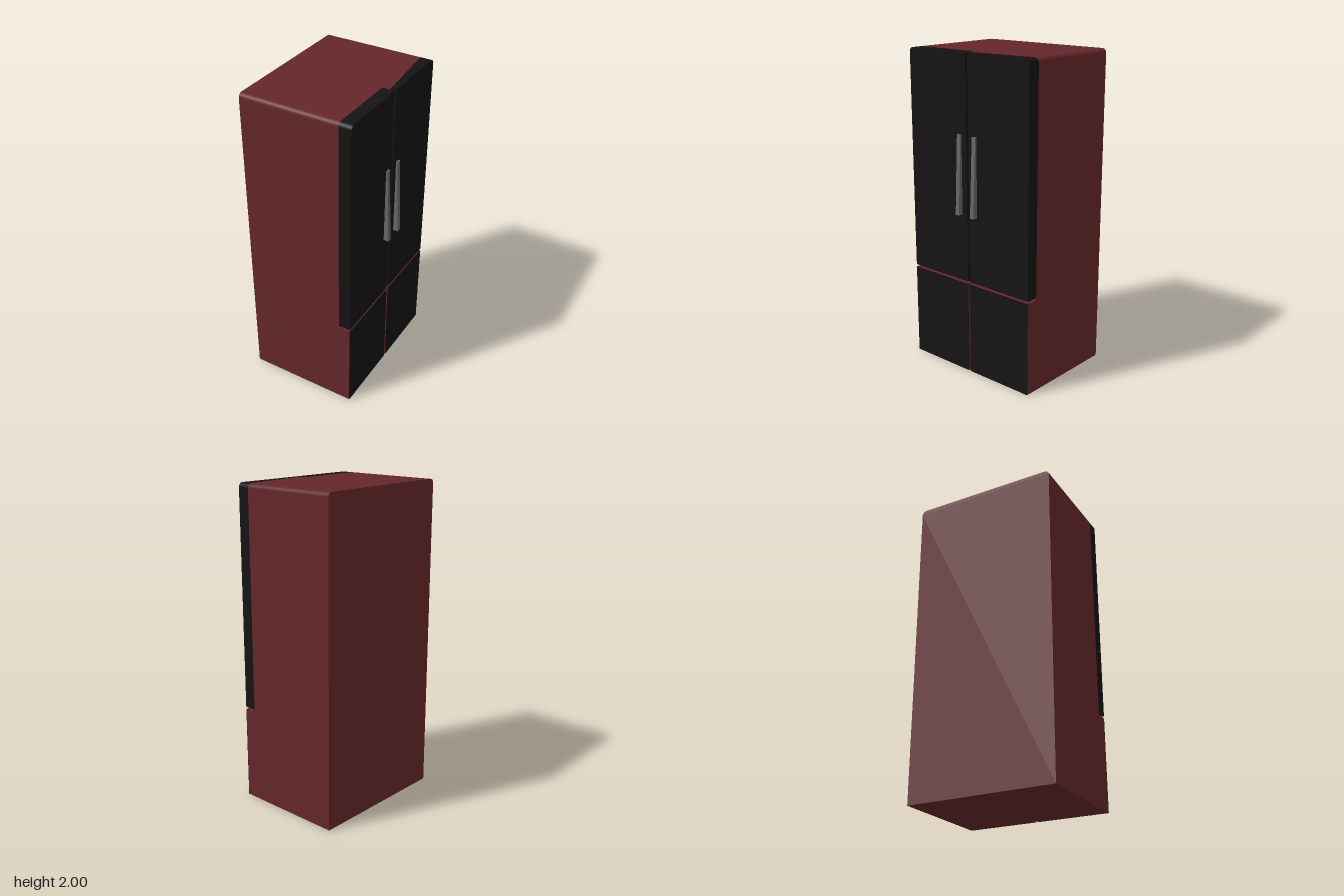
import * as THREE from 'three';

const red = new THREE.MeshStandardMaterial({ color: 0x64262a });
const black = new THREE.MeshStandardMaterial({ color: 0x151314 });
const steel = new THREE.MeshStandardMaterial({ color: 0x666666 });

const BACK = -0.37, SEAM = 0.26, GROOVE = 0.305, FRONT = 0.337;
const SIDE = 0.47, TOP = 2, GAP = 0.008, SPLIT = 0.605, DRAWER_TOP = 0.59;

// Slab from x0 to x1, with optional rounded top corners at zMin and zMax
function slab(x0, x1, y0, y1, zMin, zMax, rMin = 0, rMax = 0) {
  const s = new THREE.Shape();
  const a = -zMax, b = -zMin; // shape x runs along -z
  s.moveTo(a, y0);
  s.lineTo(b, y0);
  s.lineTo(b, y1 - rMin);
  if (rMin) s.absarc(b - rMin, y1 - rMin, rMin, 0, Math.PI / 2, false);
  s.lineTo(a + rMax, y1);
  if (rMax) s.absarc(a + rMax, y1 - rMax, rMax, Math.PI / 2, Math.PI, false);
  s.closePath();
  const g = new THREE.ExtrudeGeometry(s, { depth: x1 - x0, bevelEnabled: false, curveSegments: 5 });
  g.rotateY(Math.PI / 2);
  g.translate(x0, 0, 0);
  return g;
}

// Slides the vertices lying on plane x = from along a slope in z
function slant(g, from) {
  const p = g.attributes.position;
  for (let i = 0; i < p.count; i++) {
    if (Math.abs(p.getX(i) - from) > 1e-4) continue;
    const t = (p.getZ(i) + SIDE) / (SIDE - GAP);
    p.setX(i, SEAM + (GROOVE - SEAM) * Math.min(1, Math.max(0, t)));
  }
  g.computeVertexNormals();
  return g;
}

export function createModel() {
  const model = new THREE.Group();
  model.name = 'refrigerator';
  const add = (name, geometry, material) => {
    const m = new THREE.Mesh(geometry, material);
    m.name = name;
    model.add(m);
    return m;
  };

  // Cabinet with softened top edges, and the deeper base below the doors
  const R = 0.028;
  add('cabinet', slab(BACK, SEAM, 0, TOP, -SIDE, SIDE, R, R), red);
  add('drawerBase', slab(SEAM, GROOVE, 0, DRAWER_TOP, -SIDE, SIDE), red);

  // Upper doors; the one at the back has a slanted inner face
  add('nearDoor', slab(SEAM, FRONT, SPLIT, TOP, GAP, SIDE, 0, R), black);
  add('farDoor', slant(slab(SEAM, FRONT, SPLIT, TOP, -SIDE, -GAP, R, 0), SEAM), black);

  // Wedge filling the space behind the slanted door and the centre seam
  add('doorWedge', slant(slab(SEAM, GROOVE, SPLIT, TOP, -SIDE + R, -GAP), GROOVE), red);
  add('centreStrip', slab(SEAM, GROOVE, SPLIT, TOP, -GAP, GAP), red);

  for (const side of [1, -1]) {
    // Lower drawer with a thin dark front panel
    const z0 = side > 0 ? GAP : -SIDE, z1 = side > 0 ? SIDE : -GAP;
    add('drawer', slab(GROOVE, FRONT - 0.002, 0, DRAWER_TOP, z0, z1), red);
    add('drawerFront', slab(FRONT - 0.002, FRONT, 0, DRAWER_TOP, z0, z1), black);

    // Tapered handle, deeper at its lower end
    const s = new THREE.Shape([
      [FRONT - 0.003, 1.03], [0.369, 1.03], [0.347, 1.52], [FRONT - 0.003, 1.52],
    ].map(([x, y]) => new THREE.Vector2(x, y)));
    const g = new THREE.ExtrudeGeometry(s, { depth: 0.028, bevelEnabled: false });
    g.translate(0, 0, side * 0.06 - 0.014);
    add('handle', g, steel);
  }
  return model;
}
